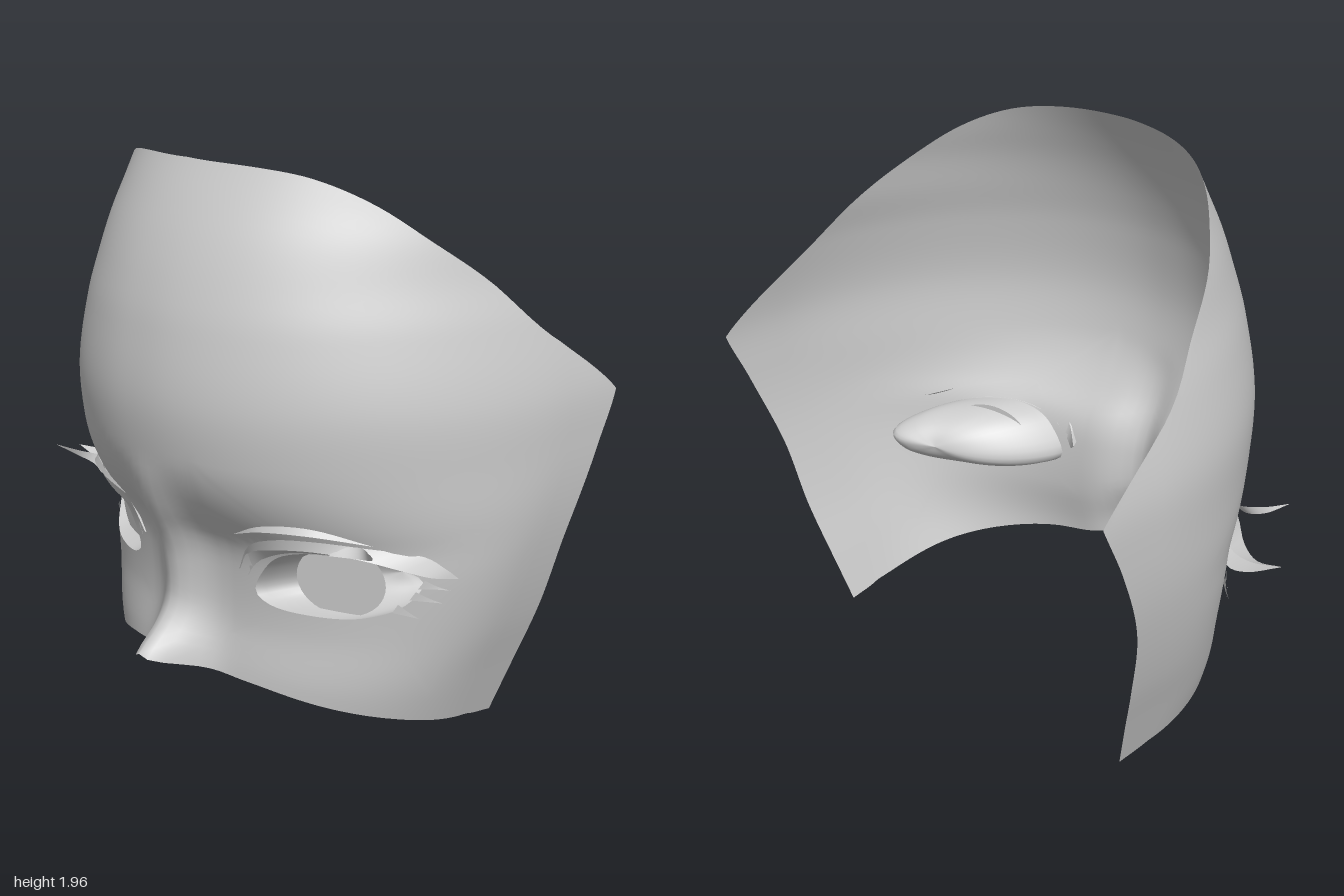
import * as THREE from 'three';

const skin = new THREE.MeshStandardMaterial({ color: 0xcccccc, side: THREE.DoubleSide });
const V = (x, y, z) => new THREE.Vector3(x, y, z);

// Smooth interpolation through [key, value] rows
function table(rows) {
  const n = rows.length;
  const slope = i => {
    const a = rows[Math.max(0, i - 1)], b = rows[Math.min(n - 1, i + 1)];
    return (b[1] - a[1]) / (b[0] - a[0]);
  };
  return k => {
    k = Math.min(Math.max(k, rows[0][0]), rows[n - 1][0]);
    let i = 0;
    while (i < n - 2 && k > rows[i + 1][0]) i++;
    const [x0, y0] = rows[i], [x1, y1] = rows[i + 1], h = x1 - x0, t = (k - x0) / h;
    return y0 * (1 + 2 * t) * (1 - t) ** 2 + y1 * t * t * (3 - 2 * t)
      + h * (slope(i) * t * (1 - t) ** 2 - slope(i + 1) * t * t * (1 - t));
  };
}

// Face shape by height: half width, centre of the curve, front depth, squareness, back edge, nose ridge
const halfWidth = table([[0, .72], [.2, .785], [.4, .85], [.6, .9], [.8, .935], [1, .95], [1.2, .947],
  [1.44, .895], [1.59, .847], [1.72, .814], [1.84, .776], [1.96, .755]]);
const centreZ = table([[0, -.2], [.2, -.2], [.4, -.25], [.6, -.3], [.8, -.35], [1, -.4], [2, -.4]]);
const frontZ = table([[0, .47], [.2, .47], [.4, .44], [.6, .45], [.7, .48], [.8, .555], [.9, .615], [1, .65],
  [1.2, .67], [1.44, .64], [1.59, .6], [1.72, .55], [1.84, .49], [1.96, .42]]);
const square = table([[0, .85], [.6, .85], [.8, .95], [1, 1], [2, 1]]);
const backZ = table([[0, -.33], [.4, -.42], [.68, -.47], [.97, -.58], [1.165, -.67], [1.4, -.75]]);
const ridge = table([[.2, .24], [.28, .21], [.36, .135], [.43, .09], [.5, .08], [.6, .08], [.7, .08],
  [.8, .05], [.9, .02], [1, 0], [2, 0]]);

// Bottom and top edges along the face, from the middle (0) to the back edge (1)
const SIDE = 0.8;
const bottomY = table([[0, .28], [.065, .235], [.13, .21], [.24, .19], [.39, .15], [.57, .1], [.8, .03], [1, .005]]);
const topY = table([[0, 1.96], [.2, 1.95], [.33, 1.92], [.46, 1.84], [.57, 1.72], [.67, 1.59], [.75, 1.44],
  [.8, 1.365], [.88, 1.28], [1, 1.165]]);

function facePoint(u, v) {
  const s = Math.sign(u), w = Math.abs(u);
  const y = THREE.MathUtils.lerp(bottomY(w), topY(w), v), W = halfWidth(y), zc = centreZ(y);
  if (w >= SIDE) return V(s * W, y, THREE.MathUtils.lerp(zc, backZ(y), (w - SIDE) / (1 - SIDE)));
  const a = w / SIDE * Math.PI / 2, x = W * Math.sin(a);
  const z = zc + (frontZ(y) - zc) * Math.cos(a) ** square(y) + ridge(y) * Math.exp(-((x / .1) ** 2));
  return V(s * x, y, z);
}
function toUV(x, y) {
  const u = SIDE * Math.asin(Math.min(1, x / halfWidth(y))) / (Math.PI / 2);
  return [u, (y - bottomY(u)) / (topY(u) - bottomY(u))];
}
// Point on the face seen from the front, lifted forward
function onFace(x, y, lift = 0) {
  const p = facePoint(...toUV(x, y));
  return V(p.x + lift * x * .6, p.y, p.z + lift);
}

// Eye opening, as a closed outline
const eyeCurve = new THREE.CatmullRomCurve3([[.305, .53], [.35, .492], [.5, .475], [.65, .485], [.745, .53],
  [.79, .62], [.72, .68], [.6, .705], [.48, .7], [.38, .655]].map(([x, y]) => V(x, y, 0)), true);
const eyeUV = eyeCurve.getPoints(900).map(p => toUV(p.x, p.y));

// Grid size and the block of cells each eye replaces
const NU = 50, NV = 52, C0 = 6, C1 = 33, R0 = 4, R1 = 24, RINGS = 9;
const mid = [.365, .255];
const block = [];
for (let c = C0; c < C1; c++) block.push([c, R0]);
for (let r = R0; r < R1; r++) block.push([C1, r]);
for (let c = C1; c > C0; c--) block.push([c, R1]);
for (let r = R1; r > R0; r--) block.push([C0, r]);
const angle = ([u, v]) => Math.atan2((v - mid[1]) / .1, (u - mid[0]) / .2);
const rim = block.map(([c, r]) => {
  const a = angle([c / NU, r / NV]);
  const gap = p => { const d = Math.abs(angle(p) - a); return Math.min(d, 2 * Math.PI - d); };
  return eyeUV.reduce((best, p) => gap(p) < gap(best) ? p : best);
});

function build(points, index) {
  const g = new THREE.BufferGeometry().setFromPoints(points);
  g.setIndex(index);
  g.computeVertexNormals();
  return g;
}
function addMesh(parent, name, geometry) {
  const m = new THREE.Mesh(geometry, skin);
  m.name = name;
  parent.add(m);
  return m;
}

function maskGeometry() {
  const points = [], index = [];
  const id = (i, j) => j * (2 * NU + 1) + i + NU;
  const quad = (a, b, c, d, flip) => index.push(...(flip ? [a, c, b, a, d, c] : [a, b, c, a, c, d]));
  for (let j = 0; j <= NV; j++) for (let i = -NU; i <= NU; i++) points.push(facePoint(i / NU, j / NV));
  for (let j = 0; j < NV; j++) for (let i = -NU; i < NU; i++) {
    const c = i < 0 ? -i - 1 : i;
    if (c >= C0 && c < C1 && j >= R0 && j < R1) continue;
    quad(id(i, j), id(i + 1, j), id(i + 1, j + 1), id(i, j + 1));
  }
  // Rings that run from the block border in to the eye opening
  for (const s of [1, -1]) {
    let prev = block.map(([c, r]) => id(s * c, r));
    for (let k = 1; k <= RINGS; k++) {
      const t = k / RINGS;
      const ring = block.map(([c, r], m) => points.push(facePoint(
        s * THREE.MathUtils.lerp(c / NU, rim[m][0], t), THREE.MathUtils.lerp(r / NV, rim[m][1], t))) - 1);
      ring.forEach((_, m) => {
        const n = (m + 1) % ring.length;
        quad(prev[m], prev[n], ring[n], ring[m], s < 0);
      });
      prev = ring;
    }
  }
  return build(points, index);
}

// Bowl behind the eye opening
function socketGeometry(s) {
  const edge = rim.map(([u, v]) => facePoint(u, v)), n = edge.length, K = 14;
  const c = V(.55, .585, .28), back = V(.07, 0, -.26), points = [], index = [];
  for (let k = 0; k <= K; k++) {
    const a = k / K * Math.PI / 2, f = Math.max(0, Math.cos(a)) ** .75, d = Math.sin(a) ** .9;
    edge.forEach((p, m) => {
      const q = p.clone().sub(c).multiplyScalar(f).add(c).addScaledVector(back, d);
      points.push(V(s * q.x, q.y, q.z));
      const e = k * n + m, h = k * n + (m + 1) % n;
      if (k < K) index.push(...(s > 0 ? [e, h, h + n, e, h + n, e + n] : [e, h + n, h, e, e + n, h + n]));
    });
  }
  return build(points, index);
}

// Strip between two curves, mirrored by s
function strip(s, lower, upper, n = 28) {
  const a = new THREE.CatmullRomCurve3(lower).getPoints(n), b = new THREE.CatmullRomCurve3(upper).getPoints(n);
  const points = [], index = [];
  for (let i = 0; i <= n; i++) {
    for (const p of [a[i], b[i]]) points.push(V(s * p.x, p.y, p.z));
    const k = 2 * i;
    if (i < n) index.push(...(s > 0 ? [k, k + 2, k + 3, k, k + 3, k + 1] : [k, k + 3, k + 2, k, k + 1, k + 3]));
  }
  return build(points, index);
}

function makeEye(s) {
  const eye = new THREE.Group();
  eye.name = s > 0 ? 'leftEye' : 'rightEye';
  addMesh(eye, 'eyeSocket', socketGeometry(s));

  // Iris disc with its highlights
  const iris = new THREE.Group();
  iris.name = 'irisGroup';
  iris.position.set(s * .545, .59, .24);
  iris.rotation.y = s * .4;
  eye.add(iris);
  addMesh(iris, 'iris', new THREE.CircleGeometry(1, 40)).scale.set(.16, .125, 1);
  const glint = addMesh(iris, 'highlight', new THREE.CircleGeometry(1, 20));
  glint.scale.set(.036, .024, 1);
  glint.position.set(.115, -.025, .012);
  const spark = addMesh(iris, 'smallHighlight', new THREE.CircleGeometry(.025, 3));
  spark.rotation.z = Math.PI / 2;
  spark.position.set(.03, .07, .012);

  // Upper lash: a shelf from the lid edge out to a long winged tip
  const lid = [onFace(.27, .565), onFace(.32, .635), onFace(.42, .69), onFace(.55, .71), onFace(.68, .695),
    onFace(.79, .64), V(.88, .655, .1), V(.99, .7, .155)];
  const brim = [V(.24, .59, .4), V(.3, .67, .43), V(.42, .71, .425), V(.55, .725, .375), V(.68, .712, .29),
    V(.79, .68, .2), V(.88, .672, .16), V(.99, .7, .155)];
  const top = [onFace(.25, .6, .005), onFace(.31, .7, .005), onFace(.42, .748, .005), onFace(.55, .76, .005),
    onFace(.68, .745, .005), onFace(.8, .71, .005), V(.89, .695, .11), V(.99, .7, .155)];
  addMesh(eye, 'upperLashUnderside', strip(s, lid, brim));
  addMesh(eye, 'upperLash', strip(s, brim, top));
  const tip = V(.83, .785, .385);
  addMesh(eye, 'lashWing', strip(s, [V(.6, .72, .35), V(.7, .725, .31), V(.77, .745, .33), tip],
    [V(.6, .745, .33), V(.68, .755, .29), V(.76, .765, .33), tip]));

  // Eyelid fold
  addMesh(eye, 'eyelidFold', strip(s,
    [onFace(.28, .745, .008), onFace(.4, .782, .02), onFace(.55, .79, .025), onFace(.7, .755, .008)],
    [onFace(.28, .745, .008), onFace(.4, .8, .004), onFace(.55, .812, .004), onFace(.7, .755, .008)]));

  // Small lower lashes
  for (const [x, y, dx, dy] of [[.73, .525, .05, -.03], [.77, .57, .055, -.025], [.79, .61, .05, -.02]]) {
    const end = onFace(x + dx, y + dy, .03);
    addMesh(eye, 'lowerLash', strip(s, [onFace(x - .01, y - .015, .004), onFace(x + dx * .5, y + dy * .8, .015), end],
      [onFace(x + .005, y + .015, .004), onFace(x + dx * .6, y + dy * .4, .015), end], 8));
  }
  return eye;
}

export function createModel() {
  const model = new THREE.Group();
  model.name = 'faceMask';
  addMesh(model, 'face', maskGeometry());
  for (const s of [1, -1]) model.add(makeEye(s));
  return model;
}
